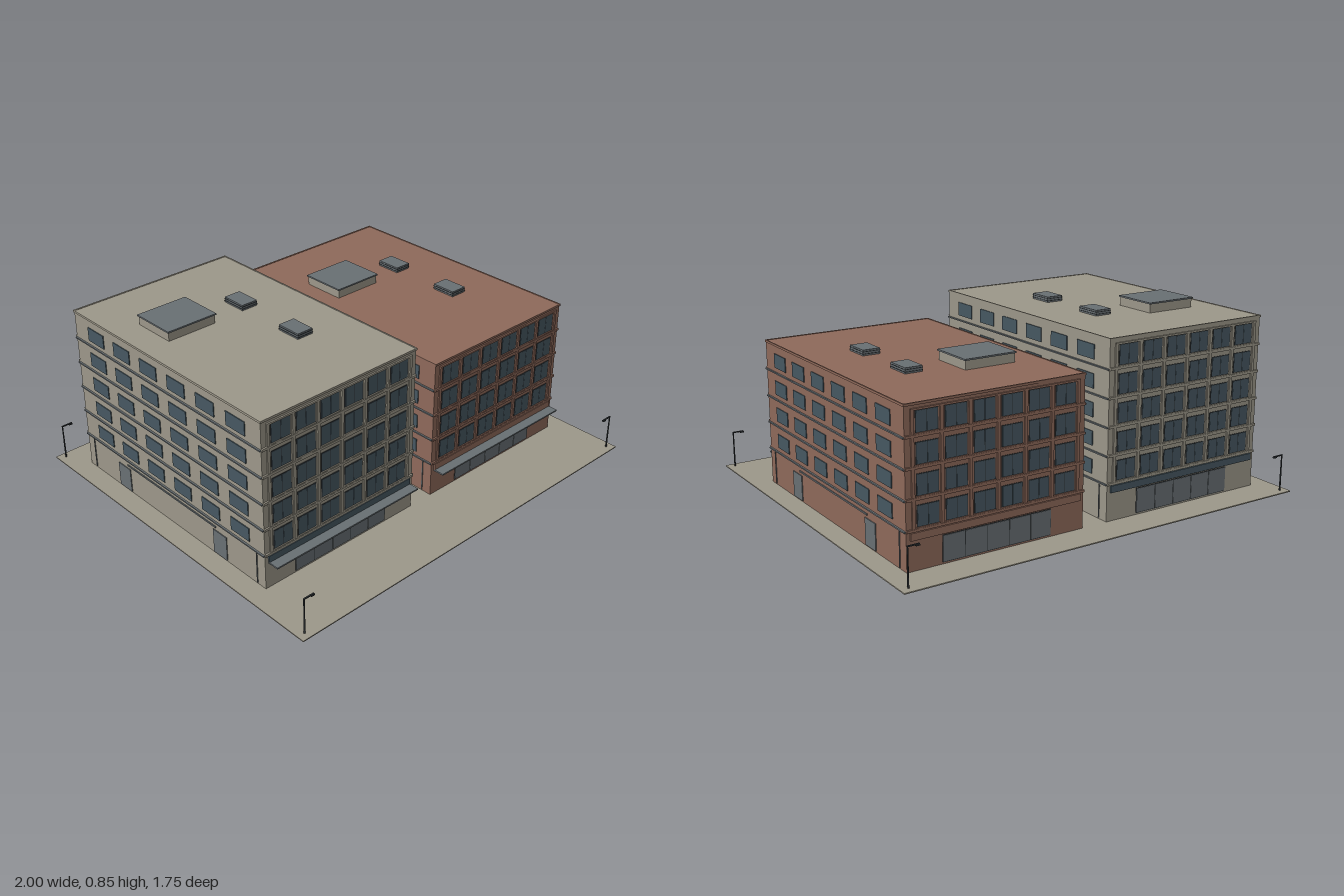
import * as THREE from 'three';

const mat = (name, color) => {
  const m = new THREE.MeshStandardMaterial({ color });
  m.name = name;
  return m;
};

export function createModel() {
  const root = new THREE.Group();
  root.name = 'cityBlock';
  const stone = mat('stone', 0x9d988a);
  const brick = mat('brick', 0x8f6a5b);
  const glass = mat('windowGlass', 0x475862);
  const steel = mat('greyMetal', 0x697074);
  const dark = mat('darkMetal', 0x303538);

  // Box given by its ranges along x, y and z
  const box = (parent, name, m, x0, x1, y0, y1, z0, z1) => {
    const mesh = new THREE.Mesh(new THREE.BoxGeometry(x1 - x0, y1 - y0, z1 - z0), m);
    mesh.position.set((x0 + x1) / 2, (y0 + y1) / 2, (z0 + z1) / 2);
    mesh.name = name;
    parent.add(mesh);
    return mesh;
  };
  const group = (parent, name, x = 0, z = 0, turn = 0) => {
    const g = new THREE.Group();
    g.name = name;
    g.position.set(x, 0, z);
    g.rotation.y = turn;
    parent.add(g);
    return g;
  };

  const BASE = 0.17, PITCH = 0.125, HALF_W = 0.42, HALF_D = 0.63;

  // Street facade, built facing +z with the wall plane at z = 0
  function streetFacade(g, wall, floors, sign, canopy) {
    const bay = 0.129, edge = bay * 3;
    for (let f = 0; f < floors; f++) {
      const y = BASE + f * PITCH;
      box(g, 'floorBand', wall, -HALF_W, HALF_W, y - 0.003, y + 0.008, 0, 0.008);
      for (let c = 0; c < 6; c++) {
        const x = (c - 2.5) * bay;
        box(g, 'windowFrame', dark, x - 0.05, x + 0.05, y + 0.012, y + 0.102, 0, 0.002);
        for (const s of [-1, 1])
          box(g, 'windowPane', glass, x + s * 0.024 - 0.0225, x + s * 0.024 + 0.0225,
            y + 0.015, y + 0.099, 0, 0.003);
        box(g, 'windowSill', wall, x - 0.052, x + 0.052, y + 0.007, y + 0.013, 0, 0.007);
      }
    }
    const top = BASE + floors * PITCH - 0.017;
    for (let c = 0; c <= 6; c++) {
      const x = (c - 3) * bay;
      box(g, 'pier', wall, x - 0.007, x + 0.007, BASE, top, 0, 0.006);
    }
    box(g, 'headBand', wall, -edge - 0.007, edge + 0.007, top - 0.006, top + 0.002, 0, 0.007);

    // Shop front with five panes
    box(g, 'shopFrame', dark, -0.26, 0.255, 0.012, 0.127, 0, 0.002);
    for (let p = 0; p < 5; p++) {
      const x = -0.26 + p * 0.103;
      box(g, 'shopPane', steel, x + 0.002, x + 0.101, 0.016, 0.124, 0, 0.004);
    }
    box(g, 'fascia', sign, -0.403, 0.403, 0.133, 0.164, 0, 0.008);
    if (canopy) box(g, 'canopy', steel, -0.403, 0.403, 0.127, 0.134, 0, 0.056);
  }

  // Long side wall, also built facing +z; dir keeps both sides mirrored
  function sideFacade(g, floors, dir) {
    for (let f = 0; f < floors; f++) {
      const y = BASE + f * PITCH;
      box(g, 'sideBand', steel, -HALF_D, HALF_D, y - 0.003, y + 0.003, 0, 0.008);
      for (let c = 0; c < 6; c++) {
        const x = dir * ((c - 2.5) * 0.19 + 0.005);
        box(g, 'sideWindow', glass, x - 0.058, x + 0.058, y + 0.023, y + 0.087, 0, 0.004);
      }
    }
    for (const x of [-0.342, 0.342])
      box(g, 'sideDoor', steel, x - 0.044, x + 0.044, 0.01, 0.127, 0, 0.004);
    box(g, 'sideRail', steel, -0.315, 0.315, 0.14, 0.147, 0, 0.004);
    for (const x of [-0.58, 0.58])
      box(g, 'downpipe', steel, x - 0.002, x + 0.002, 0.01, 0.16, 0, 0.004);
  }

  function building(name, wall, sign, cx, floors, house) {
    const g = group(root, name, cx, -0.09);
    const h = BASE + floors * PITCH + 0.005;
    box(g, 'walls', wall, -HALF_W, HALF_W, 0.004, h, -HALF_D, HALF_D);
    streetFacade(group(g, 'frontFacade', 0, HALF_D), wall, floors, sign, true);
    streetFacade(group(g, 'backFacade', 0, -HALF_D, Math.PI), wall, floors, sign, false);
    sideFacade(group(g, 'leftFacade', HALF_W, 0, Math.PI / 2), floors, -1);
    sideFacade(group(g, 'rightFacade', -HALF_W, 0, -Math.PI / 2), floors, 1);
    // Thin coping around the roof edge
    for (const s of [-1, 1]) {
      const z = s * HALF_D, x = s * HALF_W;
      box(g, 'coping', wall, -HALF_W - 0.003, HALF_W + 0.003, h - 0.008, h + 0.002, z - 0.004, z + 0.004);
      box(g, 'coping', wall, x - 0.003, x + 0.003, h - 0.008, h + 0.002, -HALF_D, HALF_D);
    }
    // Stair house with a metal lid
    box(g, 'stairHouse', stone, house - 0.122, house + 0.122, h, h + 0.04, -0.325, -0.115);
    box(g, 'stairHouseRoof', steel, house - 0.127, house + 0.127, h + 0.04, h + 0.047, -0.33, -0.11);
    // Roof units with louvres
    for (const z of [-0.185, 0.18]) {
      const x = 0.155;
      box(g, 'roofUnit', steel, x - 0.041, x + 0.041, h, h + 0.026, z - 0.06, z + 0.06);
      for (const y of [0.006, 0.016])
        box(g, 'louvre', dark, x - 0.0425, x + 0.0425, h + y, h + y + 0.003, z - 0.0615, z + 0.0615);
    }
  }

  box(root, 'pavement', stone, -1, 1, 0, 0.005, -0.875, 0.875);
  building('stoneBuilding', stone, glass, -0.483, 5, -0.167);
  building('brickBuilding', brick, brick, 0.482, 4, -0.162);

  // Corner street lamps, arms pointing inwards
  for (const s of [-1, 1]) for (const z of [-0.843, 0.843]) {
    const lamp = group(root, 'streetLamp', s * 0.965, z);
    const post = new THREE.Mesh(new THREE.CylinderGeometry(0.003, 0.004, 0.17, 8), dark);
    post.name = 'lampPost';
    post.position.y = 0.09;
    lamp.add(post);
    const arm = box(lamp, 'lampArm', dark, -0.027, 0.027, 0.17, 0.175, -0.003, 0.003);
    arm.position.x = -s * 0.024;
    const head = box(lamp, 'lampHead', dark, -0.009, 0.009, 0.166, 0.172, -0.005, 0.005);
    head.position.x = -s * 0.043;
  }
  return root;
}
